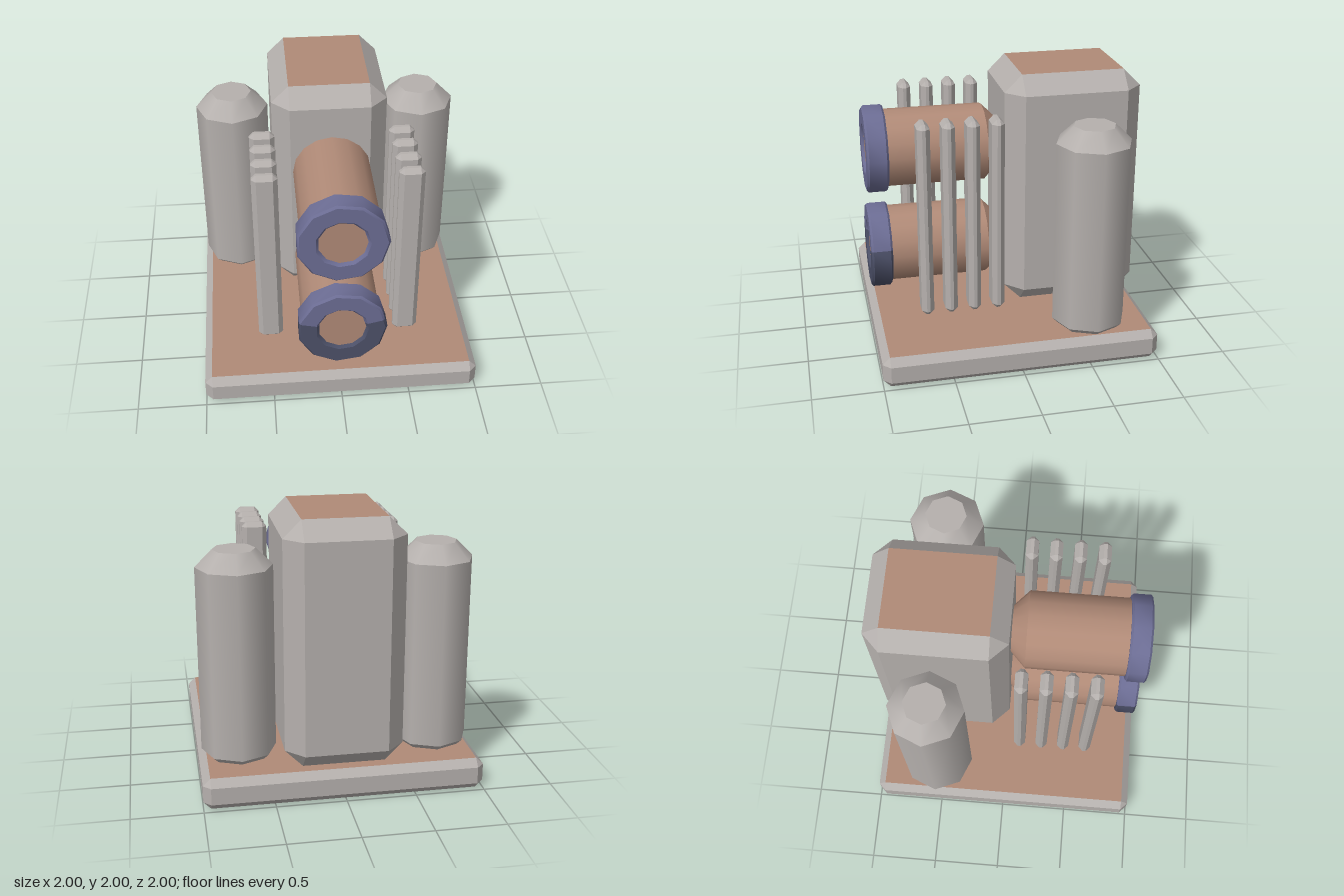
import * as THREE from 'three';
import { toCreasedNormals } from 'three/addons/utils/BufferGeometryUtils.js';

const material = (name, color) => {
  const m = new THREE.MeshStandardMaterial({ color });
  m.name = name;
  return m;
};

// Joins rings of points into triangles, skipping collapsed ones
function loft(rings, closed) {
  const out = [];
  const area = new THREE.Triangle();
  const tri = (a, b, c) => {
    if (area.set(a, b, c).getArea() > 1e-8) for (const p of [a, b, c]) out.push(p.x, p.y, p.z);
  };
  const n = rings[0].length;
  for (let j = 0; j < rings.length - 1; j++) {
    for (let i = 0; i < (closed ? n : n - 1); i++) {
      const k = (i + 1) % n;
      const [a, b, c, d] = [rings[j][i], rings[j][k], rings[j + 1][k], rings[j + 1][i]];
      tri(a, b, c);
      tri(a, c, d);
    }
  }
  return { out, tri };
}

function toGeometry(positions) {
  const g = new THREE.BufferGeometry();
  g.setAttribute('position', new THREE.Float32BufferAttribute(positions, 3));
  g.computeVertexNormals();
  return g;
}

// Box with every edge chamfered by b; group 0 = sides, 1 = bottom, 2 = top
function chamferBox(w, h, d, b) {
  const x = w / 2, z = d / 2;
  const corners = [[1, 1], [1, -1], [-1, -1], [-1, 1]];
  const ring = (y, full) => corners.flatMap(([sx, sz], k) => {
    if (!full) {
      const p = new THREE.Vector3(sx * (x - b), y, sz * (z - b));
      return [p, p];
    }
    const pair = [new THREE.Vector3(sx * (x - b), y, sz * z), new THREE.Vector3(sx * x, y, sz * (z - b))];
    return k % 2 ? pair.reverse() : pair;
  });
  const rings = [ring(0, false), ring(b, true), ring(h - b, true), ring(h, false)];
  const { out, tri } = loft(rings, true);
  const sides = out.length / 3;
  const lo = rings[0], hi = rings[3];
  tri(lo[0], lo[4], lo[2]);
  tri(lo[0], lo[6], lo[4]);
  tri(hi[0], hi[2], hi[4]);
  tri(hi[0], hi[4], hi[6]);
  const g = toGeometry(out);
  g.addGroup(0, sides, 0);
  g.addGroup(sides, 6, 1);
  g.addGroup(sides + 6, 6, 2);
  return g;
}

// Part of an eleven-sided chamfered collar, between two angles in degrees
function collarSector(from, to) {
  const profile = [[0.27, 0.83], [0.305, 0.83], [0.32, 0.845], [0.32, 0.97], [0.305, 0.985], [0.19, 0.985], [0.17, 0.965]];
  const step = 360 / 11;
  const angles = [from];
  for (let k = Math.floor(from / step) + 1; k * step < to - 1e-6; k++) angles.push(k * step);
  angles.push(to);
  const rings = profile.map(([r, z]) => angles.map((deg) => {
    const local = deg - Math.floor(deg / step + 1e-9) * step - step / 2;
    const radius = r * Math.cos(Math.PI / 11) / Math.cos(THREE.MathUtils.degToRad(local));
    const a = THREE.MathUtils.degToRad(deg);
    return new THREE.Vector3(radius * Math.cos(a), radius * Math.sin(a), z);
  }));
  return toCreasedNormals(toGeometry(loft(rings, false).out), 0.65);
}

export function createModel() {
  const grey = material('warm grey', 0xb5b0ad);
  const brown = material('clay brown', 0xb08a77);
  const blue = material('dusty blue', 0x6c6d94);
  const slate = material('dark slate', 0x4c5068);

  const model = new THREE.Group();
  model.name = 'machine';
  const add = (parent, name, geometry, mat, x = 0, y = 0, z = 0) => {
    const mesh = new THREE.Mesh(geometry, mat);
    mesh.name = name;
    mesh.position.set(x, y, z);
    parent.add(mesh);
    return mesh;
  };
  const group = (name, x, y, z) => {
    const g = new THREE.Group();
    g.name = name;
    g.position.set(x, y, z);
    model.add(g);
    return g;
  };

  // Base plate and tower
  add(model, 'basePlate', chamferBox(2, 0.23, 2, 0.053), [grey, brown, brown]);
  add(model, 'tower', chamferBox(0.84, 1.765, 1, 0.127), [grey, grey, brown], 0, 0.235, -0.5);

  // Side tanks and rows of upright fins
  const finGeometry = chamferBox(0.18, 1.45, 0.09, 0.033);
  for (const side of [-1, 1]) {
    const label = side > 0 ? 'left' : 'right';
    const tank = group(label + 'Tank', side * 0.71, 0, -0.54);
    const section = (name, rTop, rBottom, y0, y1) => add(tank, name,
      new THREE.CylinderGeometry(rTop, rBottom, y1 - y0, 8, 1, true), grey, 0, (y0 + y1) / 2, 0);
    section('tankFoot', 0.27, 0.23, 0.23, 0.27);
    section('tankBody', 0.27, 0.27, 0.27, 1.62);
    section('tankShoulder', 0.15, 0.27, 1.62, 1.74);
    const lid = new THREE.CircleGeometry(0.15, 8).rotateX(-Math.PI / 2);
    add(tank, 'tankLid', lid, grey, 0, 1.74, 0);

    for (let i = 0; i < 4; i++) {
      add(model, label + 'Fin', finGeometry, grey, side * 0.5, 0.32, 0.1 + i * 0.173);
    }
  }

  // Two barrels projecting from the tower
  for (const [name, y] of [['lowerBarrel', 0.66], ['upperBarrel', 1.425]]) {
    const barrel = group(name, 0, y, 0);
    const section = (part, rFront, rBack, z0, z1) => add(barrel, part,
      new THREE.CylinderGeometry(rFront, rBack, z1 - z0, 16, 1, true).rotateX(Math.PI / 2),
      brown, 0, 0, (z0 + z1) / 2);
    section('barrelTaper', 0.283, 0.16, -0.01, 0.11);
    section('barrelBody', 0.283, 0.283, 0.11, 0.84);
    add(barrel, 'barrelFace', new THREE.CircleGeometry(0.17, 11), brown, 0, 0, 0.965);
    if (name === 'upperBarrel') {
      add(barrel, 'collar', collarSector(0, 360), blue);
    } else {
      add(barrel, 'collarTop', collarSector(13, 167), blue);
      add(barrel, 'collarBottom', collarSector(167, 373), slate);
    }
  }
  return model;
}
